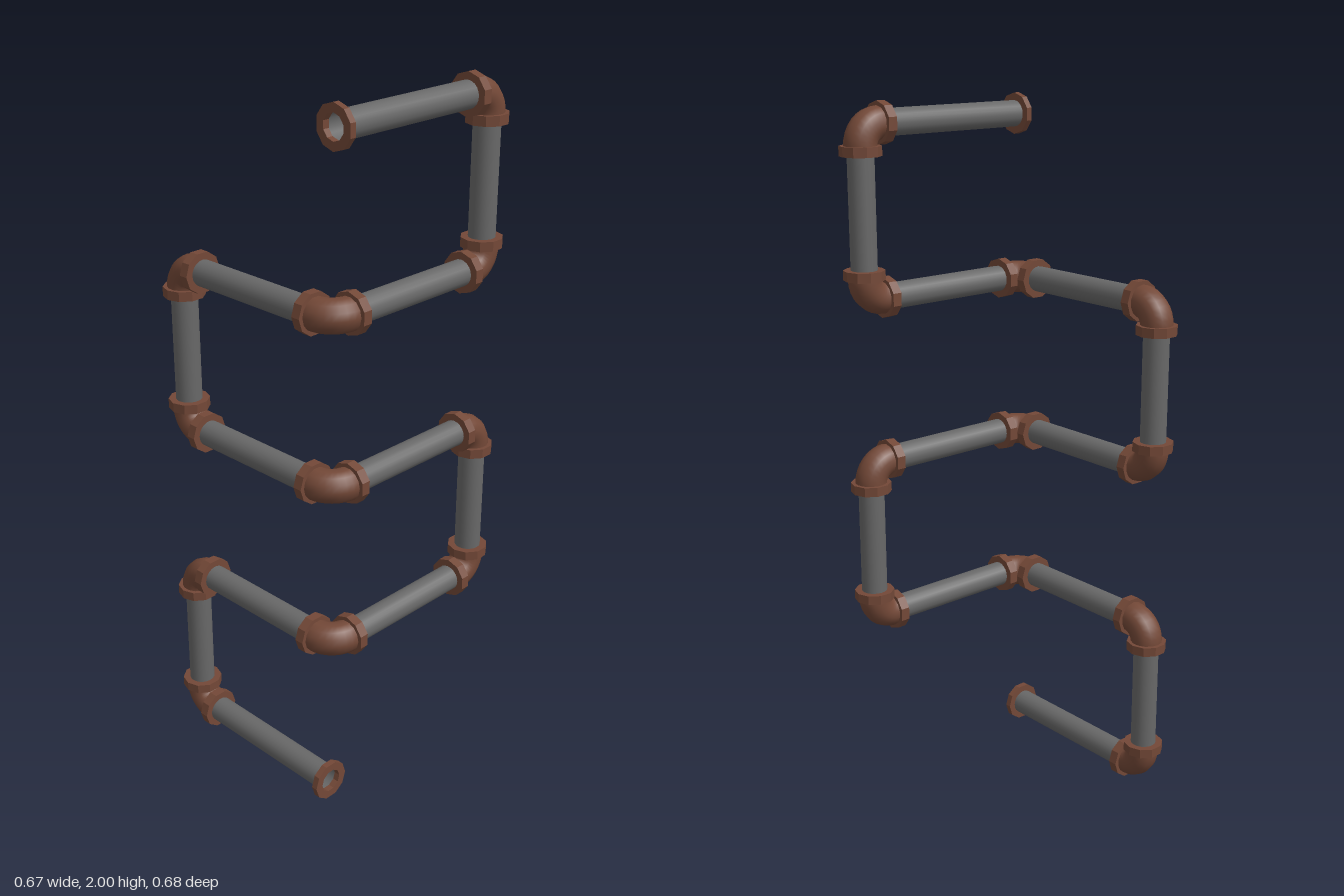
import * as THREE from 'three';
import { toCreasedNormals } from 'three/addons/utils/BufferGeometryUtils.js';

const PIPE_R = 0.037, ELBOW_R = 0.046, COLLAR_R = 0.058, BORE_R = 0.034;
const BEND = 0.058; // centreline radius of an elbow
const COLLAR_T = 0.027, FLANGE_T = 0.018;

// Ten-sided ring standing on y = 0, with crisp edges
function ringGeometry(thickness) {
  const profile = [
    [BORE_R, 0], [COLLAR_R, 0], [COLLAR_R, thickness], [BORE_R, thickness], [BORE_R, 0],
  ].map(([r, y]) => new THREE.Vector2(r, y));
  return toCreasedNormals(new THREE.LatheGeometry(profile, 10), 0.5);
}

export function createModel() {
  const model = new THREE.Group();
  model.name = 'zigzagPipe';

  const steel = new THREE.MeshStandardMaterial({ color: 0x686868, side: THREE.DoubleSide });
  steel.name = 'grey steel';
  const rust = new THREE.MeshStandardMaterial({ color: 0x734837, side: THREE.DoubleSide });
  rust.name = 'rusty brown';

  // Corner points of the run, from the lower open end to the upper one
  const s = 0.282, e = 0.278;
  const level = (i) => 0.058 + i * 0.471;
  const path = [
    [e, level(0), s], [-s, level(0), s],
    [-s, level(1), s], [s, level(1), s], [s, level(1), -s],
    [s, level(2), -s], [s, level(2), s], [-s, level(2), s],
    [-s, level(3), s], [s, level(3), s], [s, level(3), -s],
    [s, level(4), -s], [s, level(4), e],
  ].map((p) => new THREE.Vector3(...p));

  const up = new THREE.Vector3(0, 1, 0);
  const collarGeo = ringGeometry(COLLAR_T);
  const flangeGeo = ringGeometry(FLANGE_T);
  const elbowGeo = new THREE.TorusGeometry(BEND, ELBOW_R, 14, 8, Math.PI / 2);

  function add(name, geometry, material, position, direction) {
    const mesh = new THREE.Mesh(geometry, material);
    mesh.name = name;
    mesh.position.copy(position);
    if (direction) mesh.quaternion.setFromUnitVectors(up, direction);
    model.add(mesh);
    return mesh;
  }

  // Straight pipes, hollow, reaching into the collars
  const last = path.length - 1;
  for (let i = 0; i < last; i++) {
    const dir = path[i + 1].clone().sub(path[i]).normalize();
    const a = path[i].clone().addScaledVector(dir, i === 0 ? 0.002 : BEND);
    const b = path[i + 1].clone().addScaledVector(dir, i === last - 1 ? -0.002 : -BEND);
    const geo = new THREE.CylinderGeometry(PIPE_R, PIPE_R, a.distanceTo(b), 20, 1, true);
    add('pipe', geo, steel, a.clone().add(b).multiplyScalar(0.5), dir);
  }

  // Elbows with a collar on each mouth
  for (let i = 1; i < last; i++) {
    const a = path[i - 1].clone().sub(path[i]).normalize();
    const b = path[i + 1].clone().sub(path[i]).normalize();
    const centre = path[i].clone().addScaledVector(a, BEND).addScaledVector(b, BEND);
    const x = a.clone().negate(), y = b.clone().negate();
    const basis = new THREE.Matrix4().makeBasis(x, y, x.clone().cross(y));
    add('elbow', elbowGeo, rust, centre).quaternion.setFromRotationMatrix(basis);
    for (const dir of [a, b]) {
      add('collar', collarGeo, rust, path[i].clone().addScaledVector(dir, BEND - 0.002), dir);
    }
  }

  // Flanges on the two open ends
  for (const [end, next] of [[0, 1], [last, last - 1]]) {
    const dir = path[next].clone().sub(path[end]).normalize();
    add('endFlange', flangeGeo, rust, path[end], dir);
  }
  return model;
}
